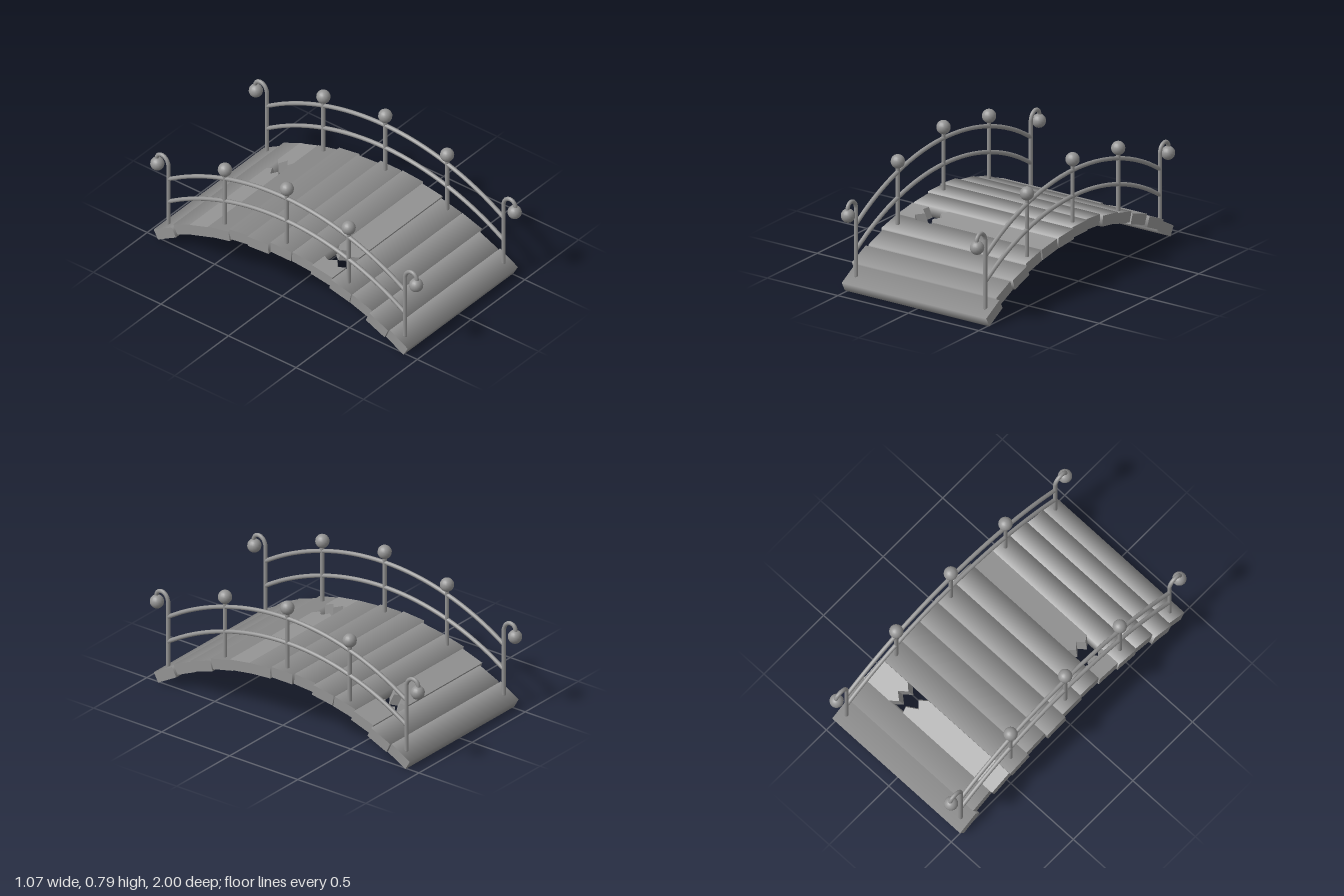
import * as THREE from 'three';

const material = new THREE.MeshStandardMaterial({ color: 0x949494 });
const PLANK = { length: 1.025, thick: 0.066, width: 0.152 };
const ARC_R = 1.623, ARC_Y = -1.267;            // circle through the deck's top
const STEP = THREE.MathUtils.degToRad(5.45);    // arc angle per plank
const SETTLE = THREE.MathUtils.degToRad(3.5);   // outer planks lie a little flatter than the arc
const RAIL_X = 0.458;

function add(parent, name, geometry, x = 0, y = 0, z = 0) {
  const mesh = new THREE.Mesh(geometry, material);
  mesh.name = name;
  mesh.position.set(x, y, z);
  parent.add(mesh);
}

// Four-sided beam along x, softly shaded around its section with flat ends
function beamGeometry() {
  const g = new THREE.CylinderGeometry(Math.SQRT1_2, Math.SQRT1_2, 1, 4, 1, false, Math.PI / 4);
  g.rotateZ(Math.PI / 2);
  const normals = g.attributes.normal.clone();
  g.scale(PLANK.length, PLANK.thick, PLANK.width);
  g.setAttribute('normal', normals);
  return g;
}

// One half of a snapped plank; breakXs run along the break from back to front
function brokenGeometry(side, breakXs) {
  const { length, thick, width } = PLANK;
  const end = side * length / 2;
  const points = breakXs.map((x, i) =>
    new THREE.Vector2(x, width / 2 - width * i / (breakXs.length - 1)));
  points.push(new THREE.Vector2(end, -width / 2), new THREE.Vector2(end, width / 2));
  const g = new THREE.ExtrudeGeometry(new THREE.Shape(points), { depth: thick, bevelEnabled: false });
  g.rotateX(-Math.PI / 2);
  g.translate(0, -thick / 2, 0);
  // slant the break so the underside reaches further into the gap
  const p = g.attributes.position;
  for (let i = 0; i < p.count; i++) {
    if (p.getY(i) < 0 && Math.abs(p.getX(i) - end) > 0.01) p.setX(i, p.getX(i) - side * 0.02);
  }
  g.computeVertexNormals();
  return g;
}

function createDeck() {
  const deck = new THREE.Group();
  deck.name = 'deck';
  const shifts = [0, 0.02, 0, -0.01, 0, -0.02, 0, 0.01, 0, -0.01, 0, -0.02, 0];
  const breaks = {
    2: [[0.20, 0.21, 0.145, 0.18, 0.13], [0.31, 0.265, 0.31, 0.26, 0.30]],
    8: [[-0.395, -0.41, -0.37, -0.415, -0.385], [-0.255, -0.285, -0.25, -0.29, -0.26]],
  };
  const beam = beamGeometry();
  shifts.forEach((shift, i) => {
    const n = i - 6, s = Math.sign(n);
    const plank = new THREE.Group();
    plank.name = 'plank';
    plank.rotation.x = n * STEP - s * Math.min(Math.abs(n) * STEP * 0.2, SETTLE);
    // the outer top edge of every plank sits on the arc
    const a = n * STEP + s * STEP / 2;
    const edge = new THREE.Vector3(0, PLANK.thick / 2, s * PLANK.width / 2).applyEuler(plank.rotation);
    plank.position.set(shift - 0.002, ARC_R * Math.cos(a) + ARC_Y, ARC_R * Math.sin(a)).sub(edge);
    if (breaks[i]) {
      add(plank, 'brokenPlankRight', brokenGeometry(-1, breaks[i][0]));
      add(plank, 'brokenPlankLeft', brokenGeometry(1, breaks[i][1]));
    } else {
      add(plank, 'plankBoard', beam);
    }
    deck.add(plank);
  });
  return deck;
}

// Arched rail between the end posts
function railGeometry(topY) {
  const R = 1.6, points = [];
  for (let i = 0; i <= 16; i++) {
    const z = -0.875 + 1.75 * i / 16;
    points.push(new THREE.Vector3(0, topY - R + Math.sqrt(R * R - z * z), z));
  }
  return new THREE.TubeGeometry(new THREE.CatmullRomCurve3(points), 32, 0.013, 8);
}

// End post bending over into an outward hook
function hookGeometry(s) {
  const path = new THREE.CurvePath();
  const v = (y, z) => new THREE.Vector3(0, y, s * z);
  path.add(new THREE.LineCurve3(v(0.09, 0.876), v(0.515, 0.876)));
  path.add(new THREE.CatmullRomCurve3([
    v(0.515, 0.876), v(0.545, 0.888), v(0.564, 0.915), v(0.56, 0.945), v(0.535, 0.962), v(0.49, 0.958),
  ]));
  return new THREE.TubeGeometry(path, 48, 0.0125, 10);
}

function createRailing(name, x) {
  const railing = new THREE.Group();
  railing.name = name;
  railing.position.x = x;
  const ball = new THREE.SphereGeometry(0.042, 16, 12);

  add(railing, 'upperRail', railGeometry(0.675));
  add(railing, 'lowerRail', railGeometry(0.515));

  // straight posts with ball finials: z, foot height, ball height
  for (const [z, foot, top] of [[-0.458, 0.26, 0.672], [0, 0.32, 0.743], [0.458, 0.26, 0.672]]) {
    add(railing, 'post', new THREE.CylinderGeometry(0.0125, 0.0125, top - foot, 10), 0, (top + foot) / 2, z);
    add(railing, 'postBall', ball, 0, top, z);
  }
  // hooked end posts with hanging balls
  for (const s of [-1, 1]) {
    add(railing, 'endPost', hookGeometry(s));
    add(railing, 'postFoot', new THREE.SphereGeometry(0.0125, 10, 8), 0, 0.092, s * 0.876);
    add(railing, 'hookBall', ball, 0, 0.489, s * 0.958);
  }
  return railing;
}

export function createModel() {
  const bridge = new THREE.Group();
  bridge.name = 'footbridge';
  bridge.add(createDeck());
  bridge.add(createRailing('leftRailing', RAIL_X));
  bridge.add(createRailing('rightRailing', -RAIL_X));
  return bridge;
}
